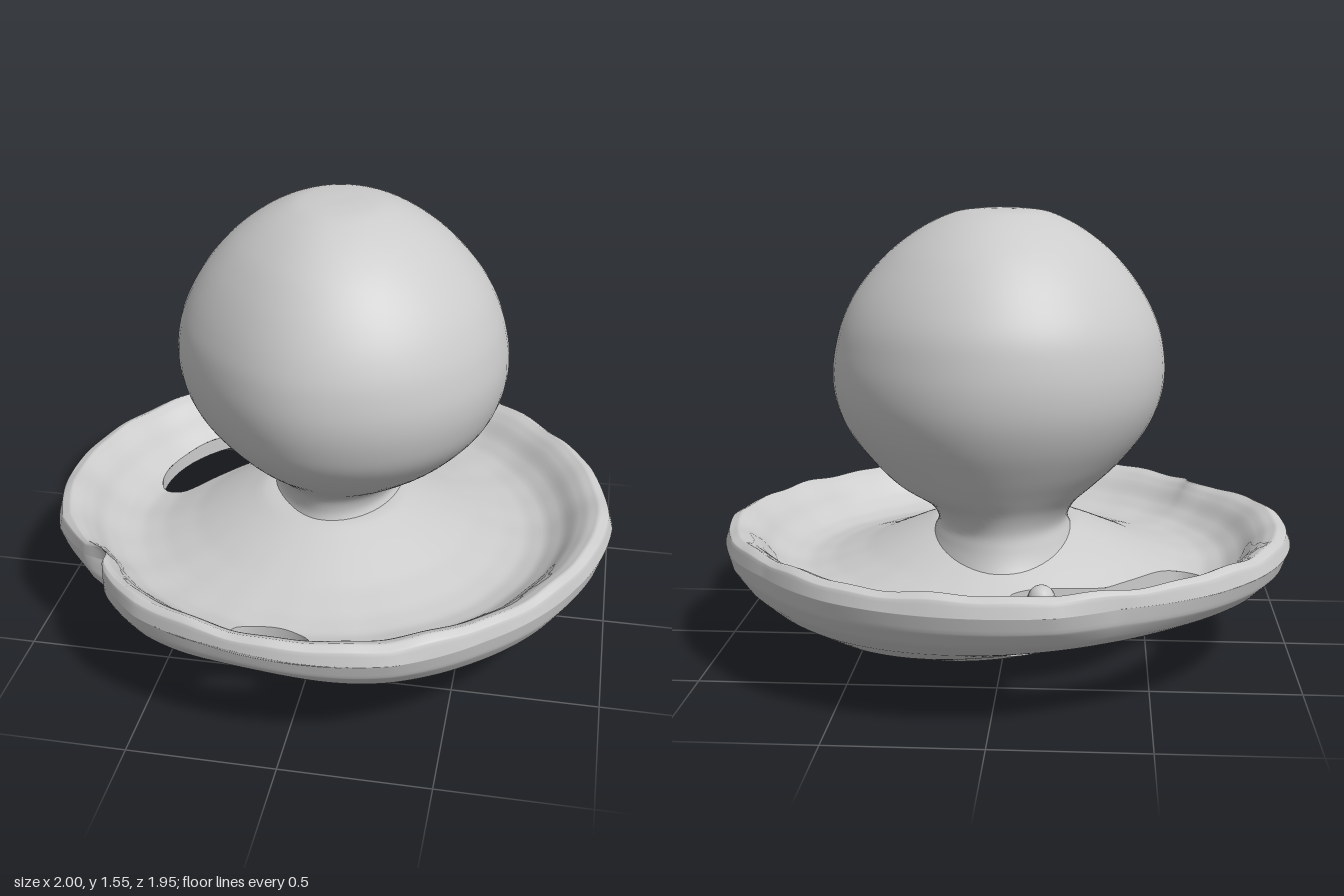
import * as THREE from 'three';

const TAU = Math.PI * 2, DEG = Math.PI / 180;
const grey = new THREE.MeshStandardMaterial({ color: 0xcccccc });
const greyThin = new THREE.MeshStandardMaterial({ color: 0xcccccc, side: THREE.DoubleSide });

// Linear lookup in a list of [key, value] pairs
function lookup(table, k) {
  let i = 1;
  while (i < table.length - 1 && k > table[i][0]) i++;
  const [k0, v0] = table[i - 1], [k1, v1] = table[i];
  return v0 + (v1 - v0) * THREE.MathUtils.clamp((k - k0) / (k1 - k0), 0, 1);
}

// Closed rings of points joined row by row; keep() may leave out cells
function loft(rows, cols, point, keep = () => true) {
  const pos = [], index = [];
  for (let i = 0; i < rows; i++)
    for (let j = 0; j < cols; j++) pos.push(...point(i, j));
  for (let i = 0; i < rows - 1; i++)
    for (let j = 0; j < cols; j++) {
      const n = (j + 1) % cols;
      const a = i * cols + j, b = a + cols, c = (i + 1) * cols + n, d = i * cols + n;
      if (keep(a, b, c, d)) index.push(a, b, c, a, c, d);
    }
  const geo = new THREE.BufferGeometry();
  geo.setAttribute('position', new THREE.Float32BufferAttribute(pos, 3));
  geo.setIndex(index);
  geo.computeVertexNormals();
  return geo;
}

function part(name, geo, mat = grey) {
  const mesh = new THREE.Mesh(geo, mat);
  mesh.name = name;
  return mesh;
}

// Uneven rim radius by angle (0 = +x, 90 = +z), with a notch near 140
const RIM = [[0, 1], [24, .975], [50, .97], [69, .99], [90, .97], [104, .955], [122, .96],
  [136, .925], [138, .91], [140, .86], [143, .87], [147, .92], [159, .985], [180, 1],
  [210, .99], [223, .98], [245, .945], [258, .98], [301, .98], [321, .96], [339, .985],
  [344, .985], [360, 1]];
// Dish heights by relative radius: rounded underside, floor rising to neck and rim
const UNDER = [[0, .022], [.1, .022], [.2, .03], [.3, .044], [.5, .092], [.7, .16], [.85, .235],
  [.93, .29], [.98, .345], [1, .4]];
const UPPER = [[0, .47], [.25, .465], [.35, .425], [.5, .36], [.62, .325], [.7, .315],
  [.77, .33], [.83, .37], [.87, .415], [.91, .445], [.95, .46], [.985, .445], [1, .4]];

// Holes through the dish: centre and half size in relative radius and angle;
// lean moves the far end inwards, lift and dip thin the dish around the hole
const HOLES = [
  { r: .66, hr: .128, a: 229 * DEG, ha: 38 * DEG, p: 2.5, lean: .07, lift: .055, dip: .05 },
  { r: .76, hr: .076, a: 95.5 * DEG, ha: 10 * DEG, p: 2, lean: 0, lift: .07, dip: 0 },
];
const holeRadius = (h, a) => h.r - h.lean * Math.max(0, (a - h.a) / h.ha);

// Point on the dish; v = 0 underside, v = 1 upper side
function dishPoint(t, a, v) {
  const deg = ((a / DEG) % 360 + 360) % 360;
  const r = t * (1 + (lookup(RIM, deg) - 1) * t ** 12);
  const wave = Math.sin(7 * a) + Math.sin(13 * a + 1) + Math.sin(23 * a + 2);
  // The underside leans to one side
  let low = lookup(UNDER, t) - .17 * Math.cos(a) * t * (1 - t);
  let high = lookup(UPPER, t) + .004 * wave * (t ** 4 - t ** 60);
  for (const h of HOLES) {
    const near = Math.exp(-(((t - h.r) / .17) ** 2) - ((deg * DEG - h.a) / (h.ha + .1)) ** 2);
    low += h.lift * near;
    high -= h.dip * near;
  }
  low = Math.max(0, low);
  return [r * Math.cos(a), low + (high - low) * v, r * Math.sin(a)];
}

function makeDish() {
  const N = 64, cols = 240, inside = [];
  const geo = loft(2 * N + 1, cols, (i, j) => {
    const upper = i > N;
    let t = Math.sin(Math.PI / 2 * (upper ? 2 * N - i : i) / N);
    let a = j / cols * TAU, hit = false;
    for (const h of HOLES) {
      const dr = t - holeRadius(h, a), da = a - h.a;
      const d = (Math.abs(dr / h.hr) ** h.p + Math.abs(da / h.ha) ** h.p) ** (1 / h.p);
      // Move points in a hole out to its edge
      if (d < 1) {
        hit = true;
        const s = 1 / Math.max(d, 1e-3);
        a = h.a + da * s;
        t = holeRadius(h, a) + dr * s;
      }
    }
    inside.push(hit);
    return dishPoint(t, a, upper ? 1 : 0);
  }, (...q) => !q.every(k => inside[k]));
  return part('dish', geo);
}

// Wall between underside and upper side around a hole
function makeHoleWall(h) {
  const cols = 72, e = 2 / h.p;
  const power = x => Math.sign(x) * Math.abs(x) ** e;
  return part('holeWall', loft(5, cols, (i, j) => {
    const u = j / cols * TAU, a = h.a + h.ha * power(Math.sin(u));
    return dishPoint(holeRadius(h, a) + h.hr * power(Math.cos(u)), a, i / 4);
  }), greyThin);
}

// Ball and neck sections: y, min x, max x, min z, max z
const BALL = [
  [.34, -.29, .29, -.47, .3], [.4, -.26, .27, -.44, .27], [.45, -.235, .245, -.425, .24],
  [.5, -.22, .23, -.42, .23], [.56, -.25, .27, -.44, .25], [.62, -.32, .38, -.48, .32],
  [.7, -.41, .47, -.53, .42], [.8, -.49, .55, -.585, .505], [.9, -.535, .59, -.62, .545],
  [1, -.55, .6, -.63, .56], [1.1, -.54, .585, -.62, .55], [1.18, -.515, .56, -.6, .525],
  [1.26, -.475, .52, -.56, .485], [1.34, -.42, .46, -.505, .43], [1.42, -.345, .38, -.43, .355],
  [1.49, -.25, .28, -.33, .255], [1.535, -.155, .18, -.22, .15], [1.548, -.08, .1, -.12, .06],
  [1.55, 0, 0, 0, 0]];

function makeBall() {
  const curve = f => new THREE.CatmullRomCurve3(
    BALL.map(s => new THREE.Vector3(...f(s))), false, 'catmullrom');
  const centre = curve(([y, x0, x1, z0, z1]) => [(x0 + x1) / 2, y, (z0 + z1) / 2]);
  const radius = curve(([y, x0, x1, z0, z1]) => [(x1 - x0) / 2, y, (z1 - z0) / 2]);
  const rows = 91, cols = 64;
  return part('ballAndNeck', loft(rows, cols, (i, j) => {
    const c = centre.getPoint(i / (rows - 1)), r = radius.getPoint(i / (rows - 1));
    const a = j / cols * TAU, x = Math.cos(a), z = Math.sin(a);
    // Slightly flattened along one diagonal
    const s = x * z < 0 ? 1 - (x < 0 ? .055 : .025) * Math.sin(2 * a) ** 2 : 1;
    return [c.x + r.x * x * s, c.y, c.z + r.z * z * s];
  }));
}

export function createModel() {
  const model = new THREE.Group();
  model.name = 'ballOnDish';
  model.add(makeDish(), makeBall());
  HOLES.forEach(h => model.add(makeHoleWall(h)));

  // Small stub at the end of the larger hole
  const stub = part('stub', new THREE.CapsuleGeometry(.045, .1, 6, 14));
  stub.position.set(-.15, .31, -.65);
  stub.rotation.x = .5;
  model.add(stub);
  return model;
}
